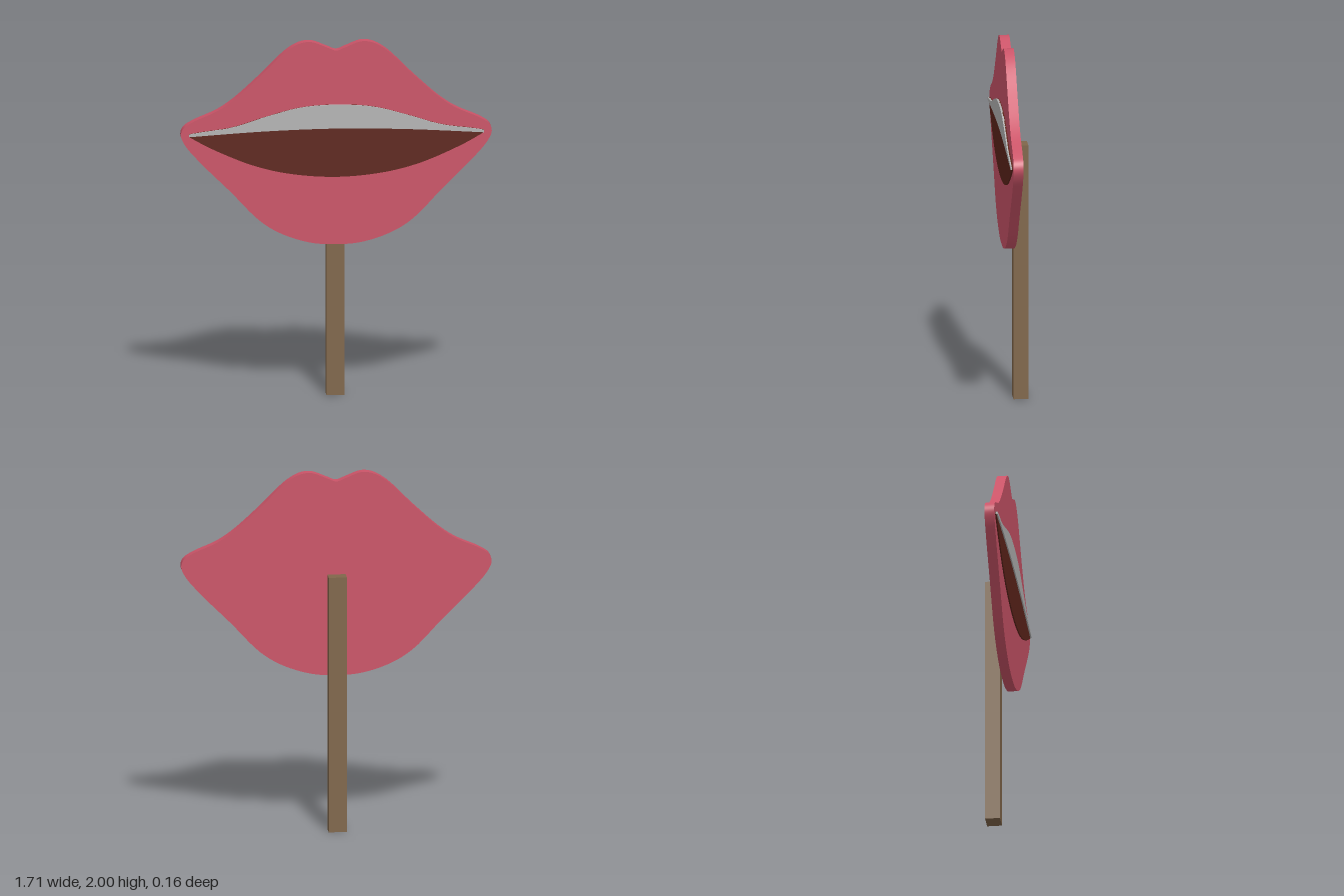
import * as THREE from 'three';
import { toCreasedNormals } from 'three/addons/utils/BufferGeometryUtils.js';

// Half profiles, from the centre line outwards (+x side)
const LIP_HALF = [
  [0, 1.95], [0.05, 1.968], [0.137, 2.0], [0.2, 1.993], [0.275, 1.95], [0.42, 1.81], [0.565, 1.68],
  [0.655, 1.62], [0.79, 1.56], [0.84, 1.525], [0.853, 1.485], [0.83, 1.43], [0.75, 1.335],
  [0.58, 1.165], [0.42, 1.0], [0.3, 0.925], [0.14, 0.873], [0, 0.862],
];
const TEETH_TOP = [[0, 1.648], [0.2, 1.634], [0.386, 1.586], [0.57, 1.53], [0.73, 1.507], [0.81, 1.494]];
const TEETH_BOTTOM = [[0, 1.515], [0.4, 1.505], [0.81, 1.48]];
const MOUTH_BOTTOM = [[0, 1.242], [0.253, 1.263], [0.465, 1.316], [0.676, 1.406], [0.81, 1.48]];

const mirror = (pts) => pts.map(([x, y]) => [-x, y]);

// Smooth symmetric edge from -x to +x
function edge(half, samples = 48) {
  const pts = [...mirror(half).reverse(), ...half.slice(1)];
  return new THREE.SplineCurve(pts.map((p) => new THREE.Vector2(...p))).getPoints(samples);
}

// Region between an upper and a lower edge
function between(top, bottom) {
  return new THREE.Shape([...edge(bottom), ...edge(top).reverse()]);
}

// Closed smooth outline mirrored about x = 0
function closedOutline(half) {
  const loop = [...half, ...mirror(half.slice(1, -1)).reverse()];
  const curve = new THREE.CatmullRomCurve3(loop.map(([x, y]) => new THREE.Vector3(x, y, 0)), true, 'centripetal');
  return new THREE.Shape(curve.getPoints(160).slice(0, -1).map((p) => new THREE.Vector2(p.x, p.y)));
}

// Flat plate spanning z0 to z1
function plate(name, shape, z0, z1, color) {
  const geometry = new THREE.ExtrudeGeometry(shape, { depth: z1 - z0, bevelEnabled: false });
  geometry.translate(0, 0, z0);
  const mesh = new THREE.Mesh(toCreasedNormals(geometry, 0.6), new THREE.MeshStandardMaterial({ color }));
  mesh.name = name;
  return mesh;
}

export function createModel() {
  const group = new THREE.Group();
  group.name = 'lipsOnStick';

  // Lips, with the dark mouth and the teeth layered on the front
  group.add(
    plate('lips', closedOutline(LIP_HALF), 0.01, 0.064, 0xcb5468),
    plate('mouthInterior', between(TEETH_TOP, MOUTH_BOTTOM), 0.06, 0.071, 0x5e251b),
    plate('teeth', between(TEETH_TOP, TEETH_BOTTOM), 0.068, 0.078, 0xb4b4b4),
  );

  // Square stick behind the lips
  const stick = new THREE.Mesh(
    new THREE.BoxGeometry(0.1, 1.43, 0.082),
    new THREE.MeshStandardMaterial({ color: 0x80664a }),
  );
  stick.name = 'stick';
  stick.position.set(0, 0.715, -0.038);
  group.add(stick);

  return group;
}
